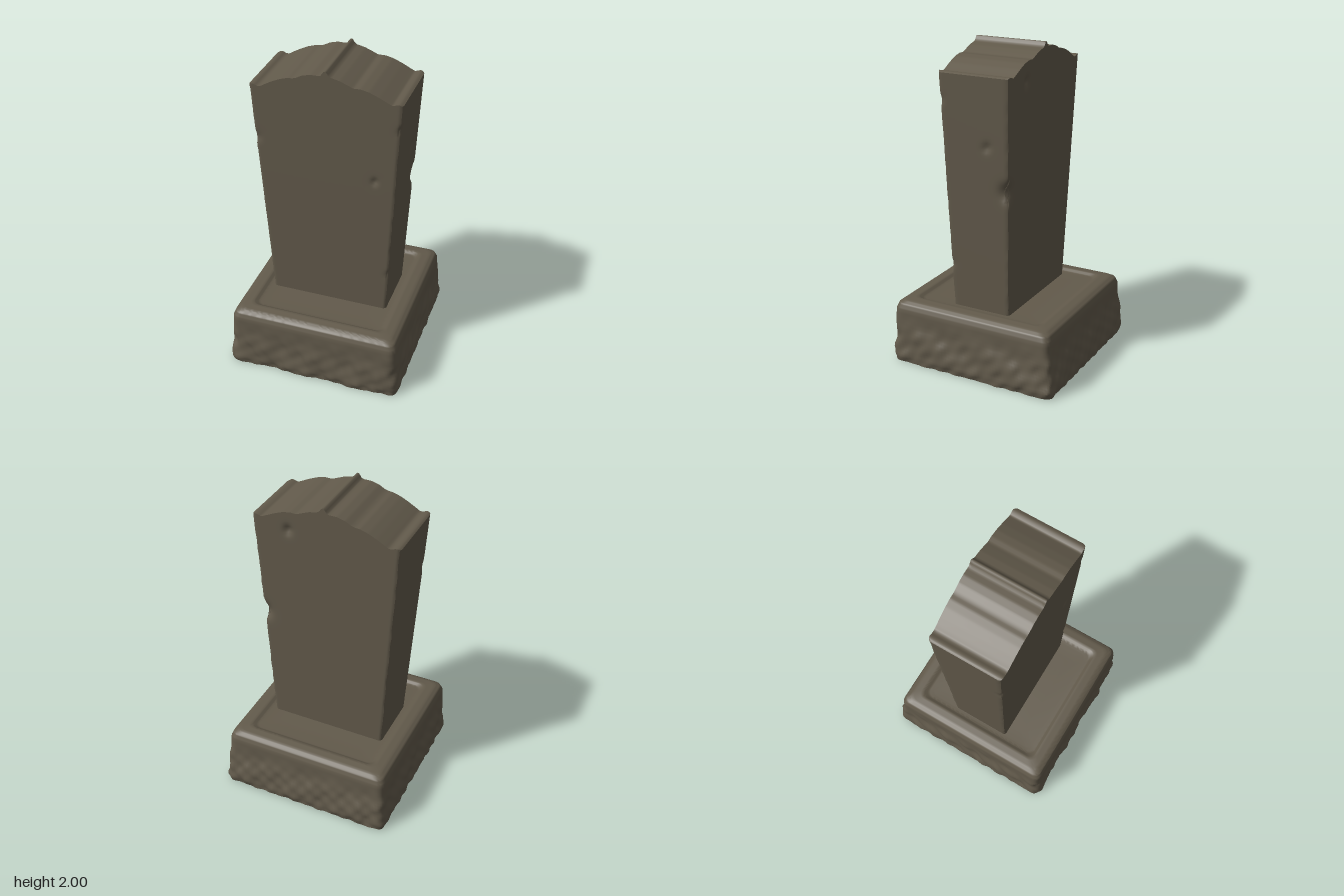
import * as THREE from 'three';
import { toCreasedNormals } from 'three/addons/utils/BufferGeometryUtils.js';
import { ParametricGeometry } from 'three/addons/geometries/ParametricGeometry.js';

const { lerp, clamp, smoothstep } = THREE.MathUtils;

// Piecewise-linear lookup of y for x in a list of [x, y] points
function lookup(points, x) {
  for (let i = 1; i < points.length; i++) {
    const [x0, y0] = points[i - 1], [x1, y1] = points[i];
    if (x <= x1) return lerp(y0, y1, clamp((x - x0) / (x1 - x0), 0, 1));
  }
  return points[points.length - 1][1];
}

// Smooth stone roughness in about -1..1
function rough(x, y, z) {
  return (Math.sin(17 * x + 9 * y + 3) * Math.sin(13 * z - 21 * y + 1)
    + 0.7 * Math.sin(41 * x - 33 * y + 12 * z) * Math.sin(37 * z + 29 * y + 2)
    + 0.4 * Math.sin(71 * x + 50 * y + 63 * z)) / 1.6;
}

// Plinth: rounded-square rings following a [half width, height] profile
function makePlinth() {
  const profile = [[0, 0], [0.3, 0], [0.55, 0], [0.558, 0.04], [0.554, 0.1], [0.547, 0.17], [0.538, 0.24],
    [0.535, 0.35], [0.522, 0.383], [0.495, 0.399], [0.435, 0.406], [0.41, 0.39], [0.38, 0.388], [0, 0.388]];
  const sides = [(s) => [s, 1], (s) => [1, -s], (s) => [-s, -1], (s) => [-1, s]];
  const n = profile.length - 1;
  const geometry = new ParametricGeometry((u, v, target) => {
    const i = Math.min(Math.floor(v * n + 1e-6), n - 1), f = v * n - i;
    const half = lerp(profile[i][0], profile[i + 1][0], f);
    const y = lerp(profile[i][1], profile[i + 1][1], f);
    const k = Math.min(Math.floor(u * 4 + 1e-6), 3);
    const [sx, sz] = sides[k]((u * 4 - k) * 2 - 1);
    // Round the plan corners
    const r = Math.min(0.045, half * 0.3), inner = half - r;
    const px = sx * half, pz = sz * half;
    const cx = clamp(px, -inner, inner), cz = clamp(pz, -inner, inner);
    const d = Math.hypot(px - cx, pz - cz) || 1;
    let x = cx + (px - cx) / d * r, z = cz + (pz - cz) / d * r;
    // Hewn sides, roughest near the ground
    const w = half > 0.53 ? 1 - smoothstep(y, 0.15, 0.36) : 0;
    const grow = 1 + w * 0.02 * rough(x, y, z);
    x *= grow;
    z *= grow;
    target.set(x, y, z + 0.008 * smoothstep(y, 0.1, 0.3));
  }, 240, n * 4);
  return toCreasedNormals(geometry, 0.9);
}

// Headstone: a tapered slab with a scalloped crest and a few chips
function makeHeadstone() {
  const crest = [[-0.476, 1.845], [-0.465, 1.853], [-0.445, 1.853], [-0.425, 1.843], [-0.405, 1.843], [-0.38, 1.858],
    [-0.33, 1.885], [-0.28, 1.908], [-0.23, 1.924], [-0.2, 1.926], [-0.18, 1.932], [-0.14, 1.953],
    [-0.09, 1.966], [-0.045, 1.966], [-0.03, 1.97], [-0.018, 1.99], [-0.008, 2], [0.002, 1.997],
    [0.012, 1.98], [0.028, 1.967], [0.08, 1.955], [0.13, 1.935], [0.16, 1.922], [0.2, 1.924],
    [0.25, 1.914], [0.31, 1.89], [0.36, 1.866], [0.39, 1.852], [0.41, 1.86], [0.43, 1.864], [0.45, 1.855]];
  // Chips as [x, y, z, radius, depth]
  const chips = [[0.42, 1.18, -0.205, 0.05, 0.045], [0.29, 1.33, 0.22, 0.022, 0.014],
    [0.43, 1.44, -0.07, 0.026, 0.014], [0.22, 1.8, -0.225, 0.028, 0.02],
    [0.445, 1.69, 0.235, 0.025, 0.015], [0.39, 0.66, 0.21, 0.025, 0.012], [-0.44, 1.5, 0.23, 0.03, 0.01]];
  const geometry = new THREE.BoxGeometry(1, 1, 1, 110, 80, 24);
  const p = geometry.attributes.position;
  const v = new THREE.Vector3();
  for (let i = 0; i < p.count; i++) {
    v.fromBufferAttribute(p, i);
    const h = v.y + 0.5, a = v.x + 0.5, b = v.z + 0.5;
    const topX = lerp(-0.476, 0.45, a);
    const y = lerp(0.37, lookup(crest, topX), h);
    const t = (y - 0.4) / 1.45;
    let x = lerp(lerp(-0.38, -0.472, t), lerp(0.375, 0.447, t), a);
    let z = lerp(lerp(-0.185, -0.224, t), lerp(0.2, 0.236, t), b);
    // Slightly worn vertical edges
    const edge = Math.max(0, 1 - (0.5 - Math.abs(v.x)) / 0.02) * Math.max(0, 1 - (0.5 - Math.abs(v.z)) / 0.04);
    x -= Math.sign(v.x) * edge * (0.006 + 0.003 * rough(x, y, z));
    z -= Math.sign(v.z) * edge * 0.006;
    for (const [cx, cy, cz, r, depth] of chips) {
      const d2 = (x - cx) ** 2 + (y - cy) ** 2 + (z - cz) ** 2;
      const push = depth * Math.exp(-d2 / (r * r));
      if (Math.abs(v.x) > 0.49) x -= Math.sign(v.x) * push;
      if (Math.abs(v.z) > 0.49) z -= Math.sign(v.z) * push;
    }
    p.setXYZ(i, x, y, z);
  }
  geometry.computeVertexNormals();
  return geometry;
}

export function createModel() {
  const stone = new THREE.MeshStandardMaterial({ color: 0x625a4b });
  stone.name = 'weatheredStone';
  const group = new THREE.Group();
  group.name = 'gravestone';
  for (const [name, geometry] of [['plinth', makePlinth()], ['headstone', makeHeadstone()]]) {
    const mesh = new THREE.Mesh(geometry, stone);
    mesh.name = name;
    group.add(mesh);
  }
  return group;
}
